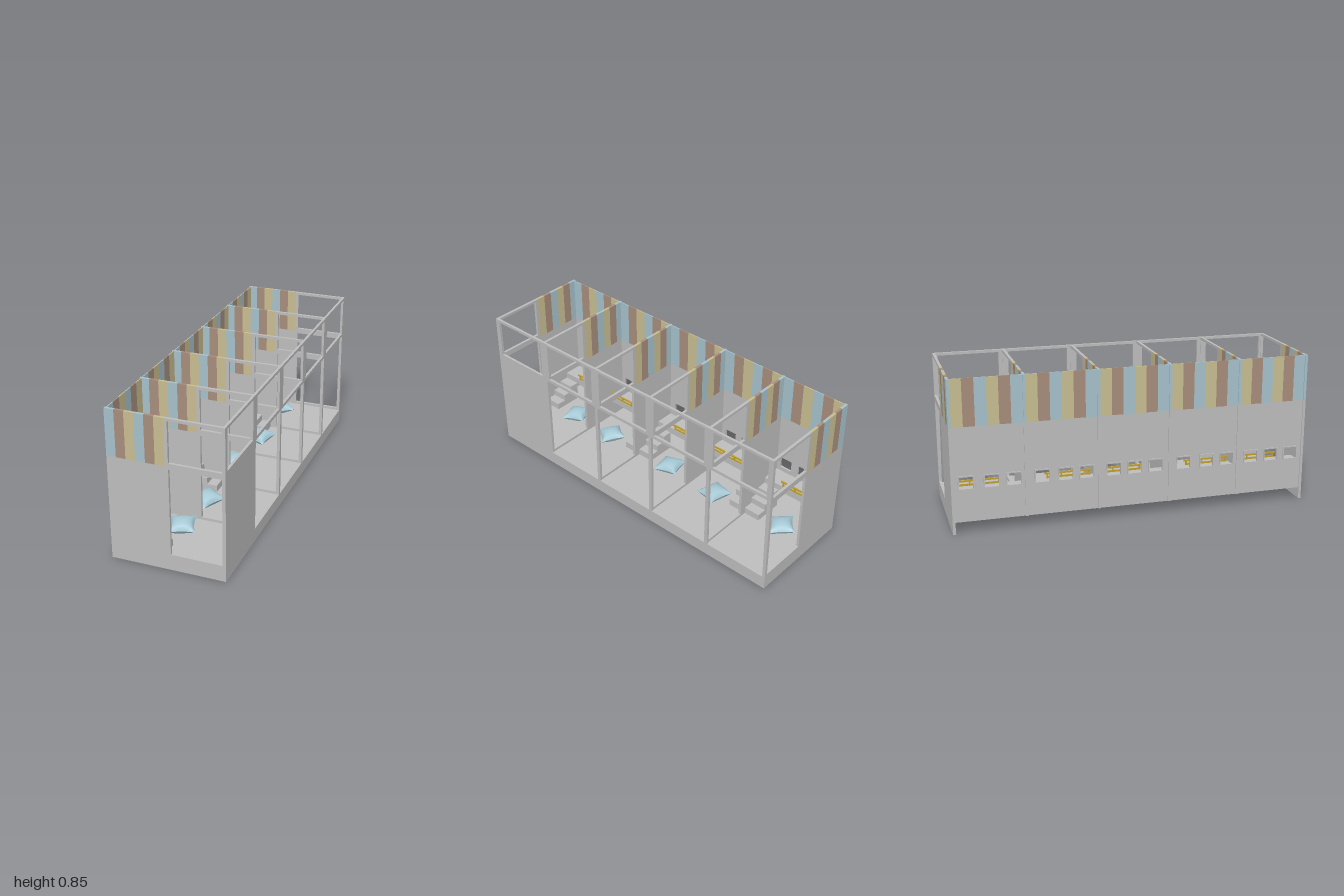
import * as THREE from 'three';

const mat = (name, color, extra = {}) => {
  const m = new THREE.MeshStandardMaterial({ color, ...extra });
  m.name = name;
  return m;
};

export function createModel() {
  const root = new THREE.Group();
  root.name = 'roomRow';
  const grey = mat('panelGrey', 0xbebebe);
  const blue = mat('stripeBlue', 0xa8c2cc);
  const brown = mat('stripeBrown', 0xa88e7c);
  const tan = mat('stripeTan', 0xc9be92);
  const cushionBlue = mat('cushionBlue', 0xa6c9d5);
  const yellow = mat('railYellow', 0xc2a02c);
  const stripes = [blue, brown, tan, blue, brown, tan];

  const W = 0.315, H = 0.845, BAND = 0.587, T = 0.015, FLOOR = 0.075;

  const add = (name, geo, material, parent = root) => {
    const m = new THREE.Mesh(geo, material);
    m.name = name;
    parent.add(m);
    return m;
  };
  // box given by its min and max corners
  const box = (name, x0, x1, y0, y1, z0, z1, material, parent) => {
    const m = add(name, new THREE.BoxGeometry(x1 - x0, y1 - y0, z1 - z0), material, parent);
    m.position.set((x0 + x1) / 2, (y0 + y1) / 2, (z0 + z1) / 2);
    return m;
  };
  // flat plate with rectangular holes, each [u0, u1, v0, v1]
  const plate = (u0, u1, v0, v1, holes, depth) => {
    const rect = (P, a, b, c, d) => {
      const p = new P();
      p.moveTo(a, c); p.lineTo(b, c); p.lineTo(b, d); p.lineTo(a, d); p.closePath();
      return p;
    };
    const s = rect(THREE.Shape, u0, u1, v0, v1);
    holes.forEach(h => s.holes.push(rect(THREE.Path, ...h)));
    return new THREE.ExtrudeGeometry(s, { depth, bevelEnabled: false });
  };

  // floor slab
  box('floor', -0.308, W - 0.012, 0.065, FLOOR, -0.99, 0.99, grey);

  // cross walls: solid half with striped band, open framed half
  const crossWall = (name, z, y0) => {
    const g = new THREE.Group();
    g.name = name;
    root.add(g);
    const z0 = z - T / 2, z1 = z + T / 2;
    const end = y0 === 0 ? W : W - 0.014;
    box('solidPanel', -W, 0, y0, BAND, z0, z1, grey, g);
    stripes.forEach((m, i) => {
      const w = W / 6;
      box('stripe', -W + i * w, -W + (i + 1) * w, BAND, H, z0, z1, m, g);
    });
    const frame = add('openFrame', plate(0, end, y0, H,
      [[0.018, 0.297, 0.09, 0.572], [0.018, 0.297, 0.605, 0.83]], T), grey, g);
    frame.position.z = z0;
  };
  crossWall('frontEndWall', 1 - T / 2, 0);
  crossWall('backEndWall', -1 + T / 2, 0);
  [-0.6, -0.2, 0.2, 0.6].forEach(z => crossWall('divider', z, 0.065));

  // long open frame on the +x side, with skirt below the floor
  const bays = [0.8, 0.4, 0, -0.4, -0.8];
  const openings = [];
  bays.forEach(c => {
    openings.push([c - 0.19, c + 0.19, FLOOR, 0.592], [c - 0.172, c + 0.172, 0.61, 0.83]);
  });
  const side = add('sideFrame', plate(-0.985, 0.985, 0, H, openings, 0.014), grey);
  side.rotation.y = Math.PI / 2;
  side.position.x = W - 0.014;

  // pillow: square cushion with pinched edges and a puffed middle
  const pillowGeometry = () => {
    const n = 16, half = new THREE.PlaneGeometry(2, 2, n, n);
    half.rotateX(-Math.PI / 2);
    const shapeHalf = (geo, sign) => {
      const p = geo.attributes.position;
      for (let i = 0; i < p.count; i++) {
        const u = p.getX(i), v = p.getZ(i);
        const puff = Math.sqrt(Math.max(0, (1 - u * u) * (1 - v * v)));
        p.setXYZ(i, 0.074 * u * (1 - 0.16 * (1 - v * v)), sign * 0.036 * puff,
          0.074 * v * (1 - 0.16 * (1 - u * u)));
      }
      if (sign < 0) {
        const ix = geo.index.array;
        for (let i = 0; i < ix.length; i += 3) [ix[i], ix[i + 1]] = [ix[i + 1], ix[i]];
      }
      geo.computeVertexNormals();
      return geo;
    };
    return [shapeHalf(half.clone(), 1), shapeHalf(half.clone(), -1)];
  };
  const pillowHalves = pillowGeometry();

  // per bay: stair side (+1 is toward +z), pillow x, z and turn, window offsets
  const layout = [
    { s: 1, px: -0.037, pz: 0.735, turn: 0.32, win: [0.12, 0, -0.12] },
    { s: -1, px: -0.025, pz: 0.43, turn: -0.57, win: [0.134, 0.016, -0.12] },
    { s: 1, px: -0.035, pz: -0.04, turn: 0.2, win: [0.12, 0, -0.118] },
    { s: -1, px: -0.018, pz: -0.39, turn: -0.28, win: [0.13, 0.016, -0.112] },
    { s: 1, px: -0.045, pz: -0.837, turn: -0.88, win: [0.135, 0.016, -0.12] },
  ];

  bays.forEach((c, b) => {
    const { s, px, pz, turn, win } = layout[b];
    const bay = new THREE.Group();
    bay.name = 'bay';
    root.add(bay);
    const half = 0.1925, z0 = c - half + (b === 4 ? 0.007 : 0), z1 = c + half - (b === 0 ? 0.007 : 0);

    // rear wall with three windows and a striped band
    const xo = -0.309, t = 0.006, wy0 = 0.25, wy1 = 0.315, hw = 0.037;
    const holes = win.map(o => [-(c + o) - hw, -(c + o) + hw, wy0, wy1]);
    const wall = add('rearWall', plate(-z1, -z0, 0.067, BAND, holes, t), grey, bay);
    wall.rotation.y = Math.PI / 2;
    wall.position.x = xo;
    holes.forEach(([a, d, e, f]) => {
      const r = 0.006;
      const frame = add('windowFrame', plate(a - r, d + r, e - r, f + r, [[a, d, e, f]], 0.012), grey, bay);
      frame.rotation.y = Math.PI / 2;
      frame.position.x = -W;
    });
    const sw = (z1 - z0) / 6;
    stripes.forEach((m, i) =>
      box('rearStripe', xo, xo + t, BAND, H, z1 - (i + 1) * sw, z1 - i * sw, m, bay));

    // raised sleeping shelf
    box('shelf', -0.303, -0.193, 0.188, 0.225, z0, z1, grey, bay);

    // three steps against one wall of the bay
    const wallZ = s > 0 ? (b === 4 ? -0.6075 : z1) : z0;
    const innerZ = wallZ - s * 0.095;
    for (let i = 0; i < 3; i++) {
      const x = -0.193 + i * 0.0577;
      box('step', x, x + 0.0577, FLOOR, 0.188 - i * 0.0375,
        Math.min(wallZ, innerZ), Math.max(wallZ, innerZ), grey, bay);
    }

    // low guard rail along the rest of the shelf edge
    const far = s > 0 ? z0 + 0.006 : z1 - 0.006;
    const r0 = Math.min(far, far + s * 0.265), r1 = Math.max(far, far + s * 0.265);
    box('railTop', -0.201, -0.193, 0.248, 0.257, r0, r1, yellow, bay);
    box('railBottom', -0.2, -0.194, 0.226, 0.236, r0 + 0.012, r1 - 0.012, yellow, bay);
    for (let i = 0; i < 4; i++) {
      const z = r0 + 0.015 + i * (r1 - r0 - 0.03) / 3;
      box('railPost', -0.2, -0.194, 0.225, 0.25, z - 0.004, z + 0.004, yellow, bay);
    }

    // floor pillow
    const pillow = new THREE.Group();
    pillow.name = 'pillow';
    pillowHalves.forEach(g => add('pillowHalf', g, cushionBlue, pillow));
    pillow.position.set(px, 0.106, pz);
    pillow.rotation.set(0.12, turn, 0);
    bay.add(pillow);
  });

  return root;
}
